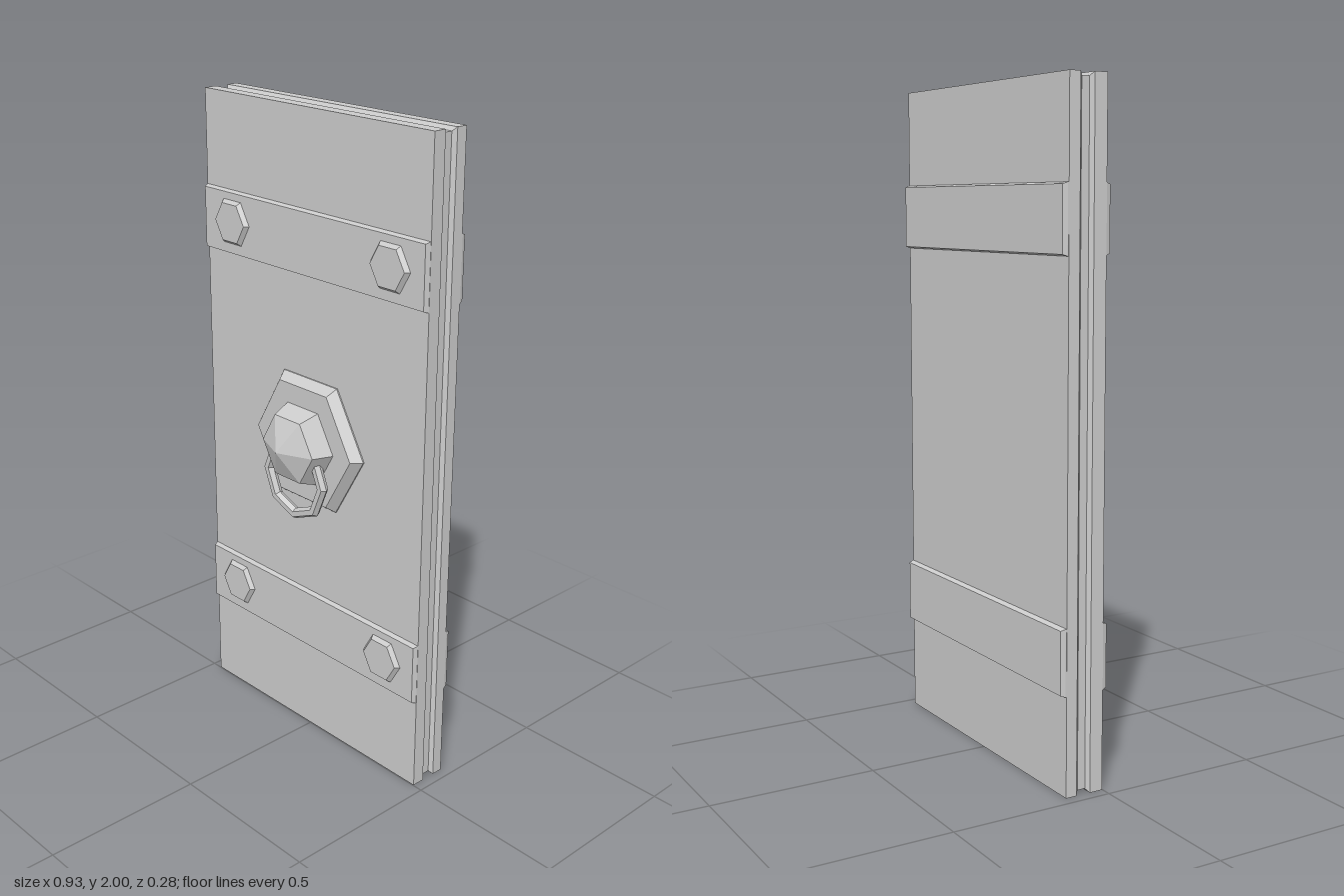
import * as THREE from 'three';

const material = new THREE.MeshStandardMaterial({ color: 0xcccccc, flatShading: true });

// Rectangular block lofted along z; sections are [inset, z] from back to front.
function rectLoft(width, height, sections) {
  const positions = [];
  const index = [];
  for (const [inset, z] of sections) {
    const x = width / 2 - inset;
    const y = height / 2 - inset;
    positions.push(-x, -y, z, x, -y, z, x, y, z, -x, y, z);
  }
  for (let s = 0; s < sections.length - 1; s++) {
    for (let i = 0; i < 4; i++) {
      const a = s * 4 + i;
      const b = s * 4 + (i + 1) % 4;
      index.push(a, b, b + 4, a, b + 4, a + 4);
    }
  }
  const t = (sections.length - 1) * 4;
  index.push(0, 2, 1, 0, 3, 2, t, t + 1, t + 2, t, t + 2, t + 3);
  const indexed = new THREE.BufferGeometry();
  indexed.setAttribute('position', new THREE.Float32BufferAttribute(positions, 3));
  indexed.setIndex(index);
  const geometry = indexed.toNonIndexed();
  geometry.computeVertexNormals();
  return geometry;
}

// Six-sided solid facing +z with corners at left and right; profile is [radius, z].
function hexSolid(profile) {
  const points = profile.map(([r, z]) => new THREE.Vector2(r, z));
  return new THREE.LatheGeometry(points, 6).rotateY(Math.PI / 6).rotateX(Math.PI / 2);
}

export function createModel() {
  const group = new THREE.Group();
  const add = (name, geometry, x, y, z = 0) => {
    const mesh = new THREE.Mesh(geometry, material);
    mesh.name = name;
    mesh.position.set(x, y, z);
    group.add(mesh);
  };

  // Door slab with a groove running round its edge
  add('doorSlab', rectLoft(0.934, 2, [
    [0, -0.123], [0, -0.088], [0.011, -0.078], [0.011, -0.053], [0, -0.043], [0, -0.002],
  ]), 0, 1);

  // Cross straps on both faces, each front strap with two bolts
  const frontStrap = rectLoft(0.932, 0.196, [[0, -0.01], [0, -0.002], [0.005, 0.013]]);
  const backStrap = rectLoft(0.932, 0.196, [[0.005, -0.14], [0, -0.126], [0, -0.115]]);
  const bolt = hexSolid([[0.077, 0.005], [0.077, 0.013], [0.066, 0.026], [0, 0.026]]);
  for (const y of [0.393, 1.613]) {
    add('frontStrap', frontStrap, 0, y);
    add('backStrap', backStrap, 0, y);
    for (const x of [-0.333, 0.333]) add('bolt', bolt, x, y + 0.004);
  }

  // Knocker: bevelled backplate, pointed knob and hanging ring
  add('backplate', hexSolid([[0.23, -0.005], [0.23, 0.002], [0.205, 0.032], [0, 0.032]]), 0, 1.003);
  add('knob', hexSolid([[0.133, 0.025], [0.133, 0.032], [0.11, 0.094], [0, 0.14]]), 0, 1.003);
  add('knockerRing', new THREE.TorusGeometry(0.119, 0.017, 6, 8), 0, 0.9, 0.06);

  return group;
}
